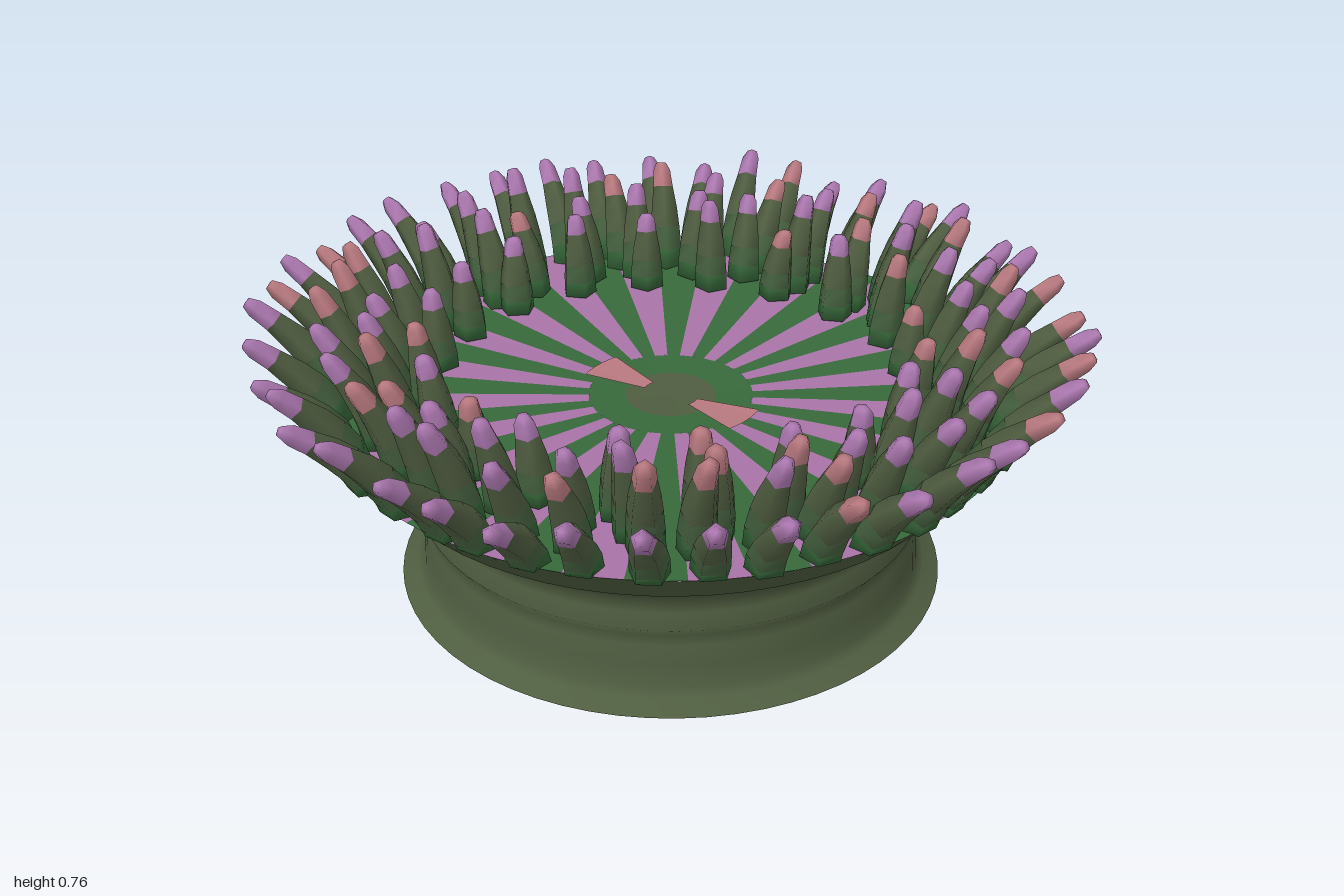
import * as THREE from 'three';
import { mergeGeometries } from 'three/addons/utils/BufferGeometryUtils.js';

const mat = (name, color) => {
  const m = new THREE.MeshStandardMaterial({ color });
  m.name = name;
  return m;
};

// Small seeded random generator
let seed = 7;
const rand = () => (seed = (seed * 16807) % 2147483647) / 2147483647;
const jitter = (a) => (rand() * 2 - 1) * a;

const V = (x, y, z) => new THREE.Vector3(x, y, z);

// Five-sided tapered loft through rings of { p, r, s, n }
function loft(rings, sides = 5) {
  const pos = [], index = [];
  rings.forEach(({ p, r, s, n }, i) => {
    for (let k = 0; k < sides; k++) {
      const a = (k / sides) * Math.PI * 2 - Math.PI / 2;
      const v = p.clone().addScaledVector(s, Math.cos(a) * r).addScaledVector(n, Math.sin(a) * r);
      pos.push(v.x, v.y, v.z);
      if (i === 0) continue;
      const k2 = (k + 1) % sides, lo = (i - 1) * sides, hi = i * sides;
      index.push(lo + k, lo + k2, hi + k2, lo + k, hi + k2, hi + k);
    }
  });
  const g = new THREE.BufferGeometry();
  g.setAttribute('position', new THREE.Float32BufferAttribute(pos, 3));
  g.setIndex(index);
  g.computeVertexNormals();
  return g;
}

// Tentacle that rises from the disc and bends outwards, cut into four coloured lengths
function tentacle(angle, radius, out, height) {
  const u = V(Math.cos(angle), 0, Math.sin(angle));
  const s = V(-u.z, 0, u.x);
  const lean = jitter(0.015);
  const ring = (t, r) => {
    const p = u.clone().multiplyScalar(radius + out * t ** 1.5).addScaledVector(s, lean * t * t);
    p.y = 0.478 + height * t;
    const T = u.clone().multiplyScalar(out * 1.5 * Math.sqrt(t)).add(V(0, height, 0)).normalize();
    return { p, r, s, n: T.cross(s) };
  };
  return {
    base: loft([ring(0, 0), ring(0, 0.046), ring(0.18, 0.045)]),
    lower: loft([ring(0.18, 0.045), ring(0.4, 0.041)]),
    stalk: loft([ring(0.4, 0.041), ring(0.6, 0.036), ring(0.8, 0.028)]),
    tip: loft([ring(0.8, 0.028), ring(0.96, 0.024), ring(1.03, 0.014), ring(1.035, 0)]),
  };
}

export function createModel() {
  seed = 7;
  const olive = mat('olive', 0x4f5d40);
  const moss = mat('moss', 0x445f3e);
  const green = mat('green', 0x38693b);
  const purple = mat('purple', 0xa874a8);
  const violet = mat('violet', 0xac78b0);
  const pink = mat('pink', 0xb8797f);
  const model = new THREE.Group();
  const add = (name, geometry, material) => {
    const m = new THREE.Mesh(geometry, material);
    m.name = name;
    model.add(m);
  };

  // Column with flared foot and rim
  const profile = [
    [0.68, 0], [0.64, 0.025], [0.622, 0.045], [0.618, 0.1], [0.613, 0.15], [0.606, 0.175],
    [0.625, 0.2], [0.606, 0.235], [0.614, 0.27], [0.635, 0.305], [0.69, 0.34], [0.735, 0.37],
    [0.77, 0.41], [0.805, 0.45], [0.838, 0.48],
  ].map(([x, y]) => new THREE.Vector2(x, y));
  add('column', new THREE.LatheGeometry(profile, 64), olive);
  add('foot', new THREE.CircleGeometry(0.68, 64).rotateX(Math.PI / 2), olive);

  // Slightly sunken mouth disc, cut into rings and sectors
  const discY = (r) => 0.455 + 0.03 * r;
  const sector = (r0, r1, mid, width, lift = 0) => new THREE.LatheGeometry(
    [r1, r0].map((r) => new THREE.Vector2(r, discY(r) + lift)),
    Math.max(3, Math.round(width * 10)), mid - width / 2, width);
  const stripes = 20, step = (Math.PI * 2) / stripes;
  const greens = [], purples = [];
  for (let i = 0; i < stripes; i++) {
    greens.push(sector(0.2, 0.838, i * step, step / 2));
    purples.push(sector(0.2, 0.838, (i + 0.5) * step, step / 2));
  }
  greens.push(sector(0.11, 0.2, 0, Math.PI * 2));
  add('discGreenStripes', mergeGeometries(greens), green);
  add('discPurpleStripes', mergeGeometries(purples), purple);
  add('mouthCentre', sector(0, 0.11, 0, Math.PI * 2), olive);
  add('mouthCorners', mergeGeometries([1, -1].map((d) =>
    sector(0.07, 0.23, (d * Math.PI) / 2, 0.52, 0.003))), pink);

  // Four rings of tentacles, the outermost leaning furthest
  const outer = [-92, -81, -76, -64, -58, -50, -39, -32, -23, -12, -4, 5, 12, 21, 29, 38, 46, 55,
    65, 73, 82, 88, 98, 107, 115, 122, 131, 142, 151, 158, 167, 175, 183, 193, 202, 211, 219, 229,
    237, 245, 253, 260];
  const outerPink = [-81, -50, -39, -23, -4, 29, 151, 167, 253];
  const even = (n) => Array.from({ length: n }, (_, i) => ((i + 0.5) / n) * 360);
  const rings = [
    { angles: even(20), radius: 0.59, out: 0.02, height: 0.205, wobble: 0.01 },
    { angles: even(28), radius: 0.66, out: 0.065, height: 0.23, wobble: 0.03 },
    { angles: even(35), radius: 0.73, out: 0.1, height: 0.24, wobble: 0.03 },
    { angles: outer, radius: 0.81, out: 0.175, height: 0.2, wobble: 0 },
  ];
  const parts = { base: [], lower: [], stalk: [], violetTip: [], pinkTip: [] };
  for (const { angles, radius, out, height, wobble } of rings) {
    for (const deg of angles) {
      const a = (deg * Math.PI) / 180 + jitter(wobble);
      const t = tentacle(a, radius + jitter(0.008), out + jitter(0.01), height + jitter(0.03));
      const isPink = angles === outer ? outerPink.includes(deg) : rand() < 0.3;
      parts.base.push(t.base);
      parts.lower.push(t.lower);
      parts.stalk.push(t.stalk);
      parts[isPink ? 'pinkTip' : 'violetTip'].push(t.tip);
    }
  }
  add('tentacleBases', mergeGeometries(parts.base), green);
  add('tentacleLowerStalks', mergeGeometries(parts.lower), moss);
  add('tentacleStalks', mergeGeometries(parts.stalk), olive);
  add('violetTentacleTips', mergeGeometries(parts.violetTip), violet);
  add('pinkTentacleTips', mergeGeometries(parts.pinkTip), pink);

  return model;
}
